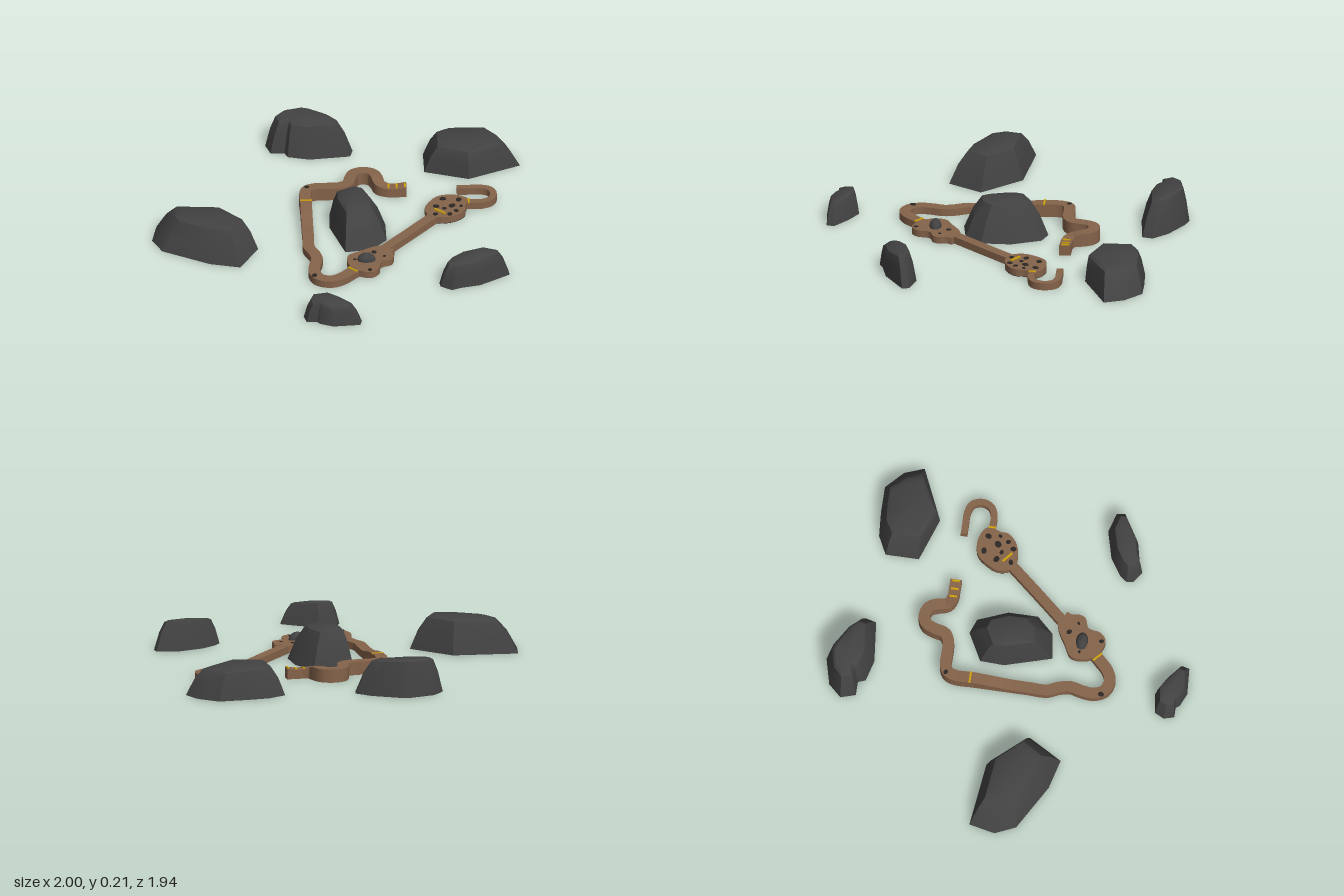
import * as THREE from 'three';
import { toCreasedNormals } from 'three/addons/utils/BufferGeometryUtils.js';

const mat = (name, color, side = THREE.FrontSide) => {
  const m = new THREE.MeshStandardMaterial({ color, side });
  m.name = name;
  return m;
};

export function createModel() {
  const model = new THREE.Group();
  const rockMat = mat('dark rock', 0x424242, THREE.DoubleSide);
  const trackMat = mat('brown track', 0x85634a, THREE.DoubleSide);
  const holeMat = mat('dark hole', 0x2b2724);
  const yellowMat = mat('yellow marking', 0xcfa408);
  const blackMat = mat('black underside', 0x0c0c0c, THREE.DoubleSide);

  const add = (name, geo, material, parent = model) => {
    const mesh = new THREE.Mesh(geo, material);
    mesh.name = name;
    parent.add(mesh);
    return mesh;
  };

  const indexed = (pos, idx, crease) => {
    const g = new THREE.BufferGeometry();
    g.setAttribute('position', new THREE.Float32BufferAttribute(pos, 3));
    g.setIndex(idx);
    return toCreasedNormals(g, crease);
  };

  // Boulder: base outline, bulging middle ring, tilted top ring and a low cap; open below
  function boulder(name, base, { c, s, h, tilt = [0, 0] }) {
    const xs = base.map(p => p[0]), zs = base.map(p => p[1]);
    const bx = (Math.min(...xs) + Math.max(...xs)) / 2;
    const bz = (Math.min(...zs) + Math.max(...zs)) / 2;
    const n = base.length, pos = [], idx = [];
    for (const [t, v] of [[0, 0], [0.42, 0.58], [0.85, 0.94], [1.2, 1]]) {
      for (const [x, z] of base) {
        const tx = c[0] + (x - bx) * s[0], tz = c[1] + (z - bz) * s[1];
        const px = x + (tx - x) * t, pz = z + (tz - z) * t;
        pos.push(px, v * (h + (px - c[0]) * tilt[0] + (pz - c[1]) * tilt[1]), pz);
      }
    }
    pos.push(c[0], h + 0.006, c[1]);
    for (let r = 0; r < 3; r++) {
      for (let i = 0; i < n; i++) {
        const a = r * n + i, b = r * n + (i + 1) % n;
        idx.push(a, a + n, b, b, a + n, b + n);
      }
    }
    for (let i = 0; i < n; i++) idx.push(3 * n + i, 4 * n, 3 * n + (i + 1) % n);
    add(name, indexed(pos, idx, 0.6), rockMat);
  }

  boulder('leftBoulder', [[-1, 0.06], [-0.97, -0.08], [-0.62, -0.04], [-0.435, 0.17],
    [-0.54, 0.35], [-0.7, 0.31], [-0.95, 0.17]],
  { c: [-0.7, 0.12], s: [0.58, 0.55], h: 0.182, tilt: [0.02, 0] });
  boulder('centreBoulder', [[-0.04, -0.16], [0.11, -0.24], [0.19, -0.21], [0.255, -0.05],
    [0.255, 0.11], [0.17, 0.2], [0.03, 0.22], [-0.045, -0.03]],
  { c: [0.08, -0.01], s: [0.5, 0.5], h: 0.2 });
  boulder('backBoulder', [[-0.355, -0.87], [-0.29, -0.94], [-0.15, -0.975], [-0.09, -0.957],
    [0.04, -0.877], [0.11, -0.8], [0.095, -0.743], [-0.125, -0.72], [-0.24, -0.75],
    [-0.255, -0.79], [-0.33, -0.79]],
  { c: [-0.14, -0.86], s: [0.65, 0.6], h: 0.193, tilt: [0, -0.1] });
  boulder('backRightBoulder', [[0.485, -0.75], [0.585, -0.8], [0.72, -0.81], [0.865, -0.81],
    [0.96, -0.72], [1, -0.615], [0.72, -0.49], [0.485, -0.57]],
  { c: [0.73, -0.64], s: [0.62, 0.8], h: 0.157, tilt: [-0.05, 0] });
  boulder('sideBoulder', [[0.52, 0.55], [0.55, 0.51], [0.64, 0.45], [0.79, 0.41], [0.895, 0.44],
    [0.9, 0.48], [0.74, 0.58], [0.63, 0.605], [0.585, 0.625], [0.525, 0.585]],
  { c: [0.7, 0.53], s: [0.66, 0.66], h: 0.148, tilt: [0, -0.25] });
  boulder('frontBoulder', [[-0.22, 0.86], [-0.195, 0.81], [-0.09, 0.795], [0, 0.845], [0.09, 0.915],
    [0.08, 0.955], [-0.065, 0.965], [-0.135, 0.935], [-0.15, 0.915], [-0.205, 0.915]],
  { c: [-0.075, 0.885], s: [0.65, 0.68], h: 0.122, tilt: [0, -0.2] });

  // Track ribbon: flat top, two side walls and end walls along a path of [x, z, height]
  function ribbon(name, path, width, steps) {
    const curve = new THREE.CatmullRomCurve3(path.map(([x, z, y = 0.04]) => new THREE.Vector3(x, y, z)));
    const pos = [], idx = [];
    for (let i = 0; i <= steps; i++) {
      const p = curve.getPointAt(i / steps), t = curve.getTangentAt(i / steps);
      const k = width / 2 / Math.hypot(t.x, t.z), nx = -t.z * k, nz = t.x * k;
      pos.push(p.x - nx, 0, p.z - nz, p.x - nx, p.y, p.z - nz,
        p.x + nx, p.y, p.z + nz, p.x + nx, 0, p.z + nz);
      if (i === steps) break;
      for (let j = 0; j < 3; j++) {
        const a = i * 4 + j;
        idx.push(a, a + 1, a + 4, a + 1, a + 5, a + 4);
      }
    }
    const e = steps * 4;
    idx.push(0, 2, 1, 0, 3, 2, e, e + 1, e + 2, e, e + 2, e + 3);
    add(name, indexed(pos, idx, 0.6), trackMat);
  }

  const H = 0.072; // raised height at the back
  ribbon('mainTrack', [
    [0.38, -0.352, 0.058], [0.33, -0.353, 0.05], [0.285, -0.354, 0.05], [0.24, -0.375, 0.06],
    [0.222, -0.43, H], [0.2, -0.472, H], [0.152, -0.49, H], [0.105, -0.472, H], [0.083, -0.425, H],
    [0.065, -0.365, H], [0.015, -0.34, H], [-0.05, -0.338, H], [-0.11, -0.336, H],
    [-0.148, -0.32, H], [-0.165, -0.28, H], [-0.165, -0.18, H], [-0.165, -0.1, 0.062],
    [-0.165, 0.02, 0.042], [-0.165, 0.12], [-0.165, 0.22], [-0.14, 0.28], [-0.127, 0.34],
    [-0.142, 0.41], [-0.146, 0.47], [-0.12, 0.525], [-0.06, 0.545], [-0.005, 0.523],
    [0.045, 0.475], [0.1, 0.42]], 0.062, 150);
  ribbon('linkTrack', [[0.23, 0.255], [0.37, 0.095], [0.52, -0.08]], 0.056, 4);
  ribbon('hookTrack', [[0.66, -0.205], [0.72, -0.205], [0.775, -0.205], [0.825, -0.228],
    [0.844, -0.277], [0.825, -0.33], [0.775, -0.35], [0.71, -0.35], [0.65, -0.35]], 0.036, 36);

  // Rounded platforms cut from closed outlines
  const outline = pts => {
    const curve = new THREE.CatmullRomCurve3(pts.map(([x, z]) => new THREE.Vector3(x, -z, 0)), true);
    return new THREE.Shape(curve.getPoints(pts.length * 4).map(p => new THREE.Vector2(p.x, p.y)));
  };
  const slab = (name, pts) => add(name, toCreasedNormals(
    new THREE.ExtrudeGeometry(outline(pts), { depth: 0.038, bevelEnabled: false })
      .rotateX(-Math.PI / 2).translate(0, 0.003, 0), 0.6), trackMat);

  slab('frontPlatform', [[0.04, 0.32], [0.11, 0.275], [0.19, 0.23], [0.25, 0.225], [0.26, 0.25],
    [0.29, 0.262], [0.28, 0.29], [0.285, 0.33], [0.27, 0.365], [0.215, 0.39], [0.2, 0.455],
    [0.16, 0.49], [0.1, 0.475], [0.045, 0.42]]);
  const padPts = [[0.47, -0.14], [0.5, -0.21], [0.545, -0.26], [0.62, -0.273], [0.685, -0.25],
    [0.708, -0.22], [0.69, -0.16], [0.685, -0.115], [0.645, -0.07], [0.565, -0.045], [0.49, -0.07]];
  slab('holePlatform', padPts);

  // Black base under the platform and half of the link
  add('platformUnderside', new THREE.ShapeGeometry(outline(padPts))
    .rotateX(-Math.PI / 2).translate(0, 0.001, 0), blackMat);
  const link = add('linkUnderside', new THREE.BoxGeometry(0.05, 0.002, 0.2), blackMat);
  link.position.set(0.435, 0.002, 0.02);
  link.rotation.y = -Math.atan2(0.29, 0.335);

  // Dark holes as thin discs: [x, z, radius, height]
  const holes = new THREE.Group();
  holes.name = 'holes';
  model.add(holes);
  [[0.57, -0.23, 0.018], [0.655, -0.218, 0.018], [0.532, -0.157, 0.018], [0.617, -0.16, 0.02],
    [0.638, -0.108, 0.014], [0.525, -0.078, 0.015], [0.602, -0.075, 0.016], [0.575, -0.135, 0.013],
    [0.665, -0.155, 0.011], [0.18, 0.29, 0.015], [0.235, 0.333, 0.009], [0.152, 0.468, 0.013],
    [0.075, 0.36, 0.009], [-0.147, 0.51, 0.016], [-0.155, -0.33, 0.014, H]]
    .forEach(([x, z, r, y = 0.041], i) => {
      const m = add('hole', new THREE.CylinderGeometry(r, r, 0.004, 12), holeMat, holes);
      m.scale.z = 0.8;
      m.rotation.y = i * 1.3;
      m.position.set(x, y + 0.001, z);
    });

  // Yellow bars: [x, z, length, turn, height, thickness]
  const bars = new THREE.Group();
  bars.name = 'yellowBars';
  model.add(bars);
  [[-0.165, -0.195, 0.064, 0, H], [0.06, 0.46, 0.062, -0.75, 0.041],
    [0.708, -0.205, 0.04, Math.PI / 2, 0.041], [0.55, -0.1, 0.07, -0.7, 0.046],
    [0.285, -0.354, 0.04, Math.PI / 2, 0.051], [0.328, -0.353, 0.04, Math.PI / 2, 0.051],
    [0.372, -0.352, 0.04, Math.PI / 2, 0.058]]
    .forEach(([x, z, len, turn, y]) => {
      const m = add('yellowBar', new THREE.BoxGeometry(len, 0.008, 0.01), yellowMat, bars);
      m.position.set(x, y, z);
      m.rotation.y = turn;
    });

  // Small stone on the front platform
  const stone = add('smallStone', toCreasedNormals(new THREE.IcosahedronGeometry(0.045, 1), 0.3), rockMat);
  stone.scale.set(1.1, 0.95, 0.75);
  stone.position.set(0.137, 0.042, 0.365);

  return model;
}
